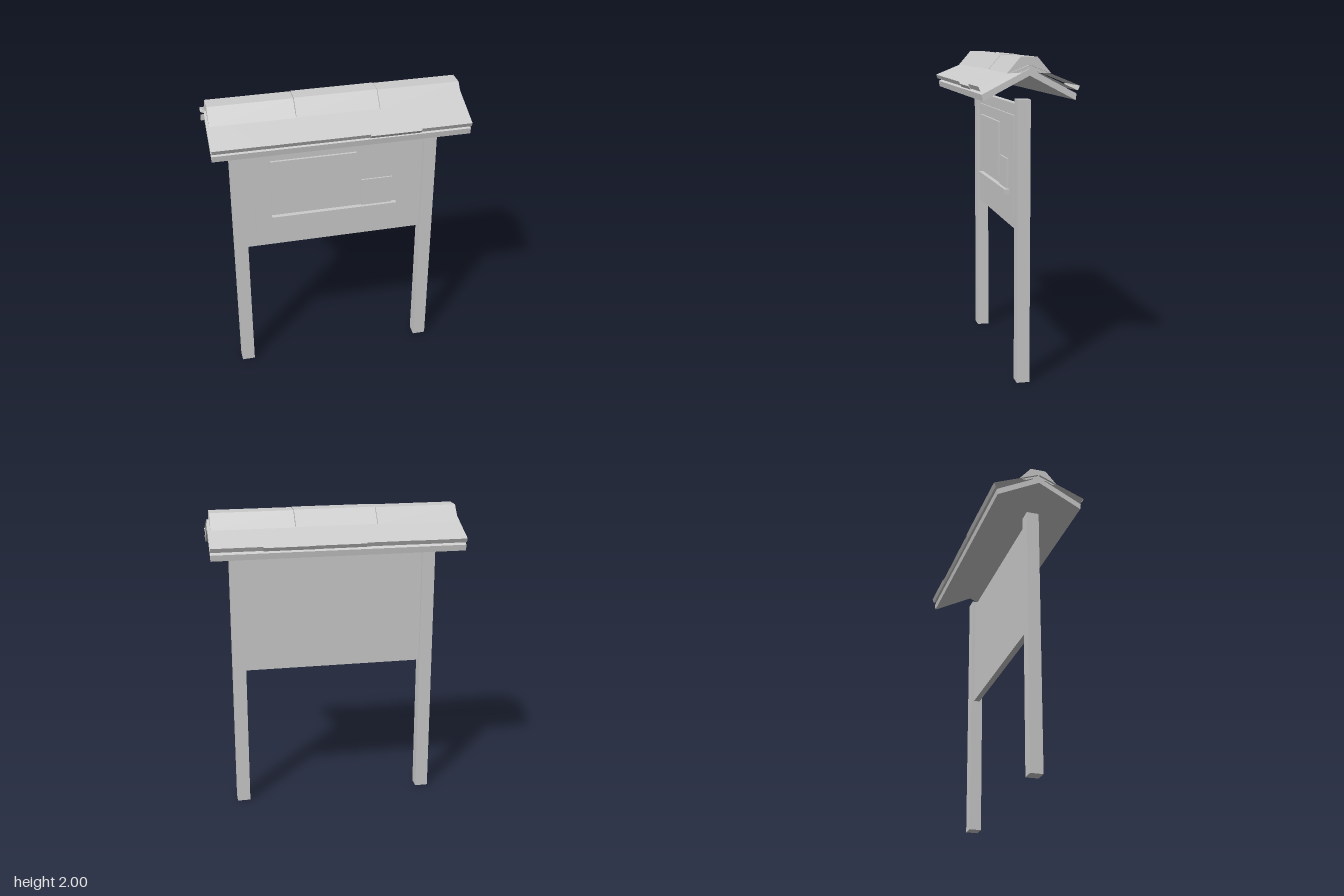
import * as THREE from 'three';

export function createModel() {
  const model = new THREE.Group();
  const grey = new THREE.MeshStandardMaterial({ color: 0xcccccc, side: THREE.DoubleSide });
  grey.name = 'paleGrey';

  function add(name, geometry) {
    const mesh = new THREE.Mesh(geometry, grey);
    mesh.name = name;
    model.add(mesh);
    return mesh;
  }

  // Box given by its limits on each axis
  function box(name, x0, x1, y0, y1, z0, z1) {
    const g = new THREE.BoxGeometry(x1 - x0, y1 - y0, z1 - z0);
    return add(name, g.translate((x0 + x1) / 2, (y0 + y1) / 2, (z0 + z1) / 2));
  }

  // Solid prism along x from a [z, y] profile
  function prism(name, profile, x0, x1) {
    const shape = new THREE.Shape(profile.map(([z, y]) => new THREE.Vector2(-z, y)));
    const g = new THREE.ExtrudeGeometry(shape, { depth: x1 - x0, bevelEnabled: false });
    return add(name, g.rotateY(Math.PI / 2).translate(x0, 0, 0));
  }

  // Open strip along x following a [z, y] line, without end caps
  function strip(name, line, x0, x1) {
    const pos = [];
    for (let i = 0; i < line.length - 1; i++) {
      const [za, ya] = line[i], [zb, yb] = line[i + 1];
      const a = [x0, ya, za], b = [x0, yb, zb], c = [x1, yb, zb], d = [x1, ya, za];
      // keep the outer side facing out on both slopes
      const quad = line[1][0] > 0 ? [a, b, c, a, c, d] : [a, c, b, a, d, c];
      pos.push(...quad.flat());
    }
    const g = new THREE.BufferGeometry();
    g.setAttribute('position', new THREE.Float32BufferAttribute(pos, 3));
    g.computeVertexNormals();
    return add(name, g);
  }

  // Posts
  for (const [name, x0] of [['rightPost', -0.67], ['leftPost', 0.585]]) {
    box(name, x0, x0 + 0.085, 0, 1.745, -0.04, 0.04);
  }

  // Notice board with its raised panel, sheets and ledge
  box('board', -0.587, 0.587, 0.94, 1.71, -0.02, 0.02);
  box('panel', -0.525, 0.52, 1.02, 1.64, 0.015, 0.03);
  box('largeNotice', -0.42, 0.14, 1.22, 1.57, 0.025, 0.045);
  box('smallNotice', 0.175, 0.38, 1.16, 1.36, 0.025, 0.04);
  box('ledge', -0.42, 0.41, 1.14, 1.17, 0.025, 0.06);

  // Folded roof deck
  prism('roofDeck', [
    [0, 1.93], [0.28, 1.785], [0.275, 1.747], [0, 1.89], [-0.275, 1.747], [-0.28, 1.785],
  ], -0.8, 0.8);

  // Roof boards: five per slope, eaves dropping by small amounts
  const drops = { 1: [0, 0.001, 0.002, 0.015, 0], [-1]: [0.001, 0, 0.006, 0.008, 0] };
  for (const side of [1, -1]) {
    drops[side].forEach((drop, i) => {
      const end = 0.3 - drop * 0.25, x0 = -0.8 + i * 0.32;
      strip(side > 0 ? 'frontRoofBoard' : 'backRoofBoard', [
        [side * 0.005, 1.95 - drop * 0.5],
        [side * end, 1.83 - drop],
        [side * (end - 0.012), 1.803 - drop * 0.5],
        [side * 0.04, 1.915],
      ], x0, x0 + 0.32);
    });
  }

  // Ridge cap in three lengths, the middle one a touch higher
  for (const [x0, x1, lift] of [[-0.787, -0.264, -0.003], [-0.26, 0.257, 0], [0.261, 0.784, -0.003]]) {
    prism('ridgeCap', [
      [-0.05, 2 + lift], [0.05, 2 + lift], [0.13, 1.907 + lift], [-0.13, 1.907 + lift],
    ], x0, x1);
  }

  return model;
}
